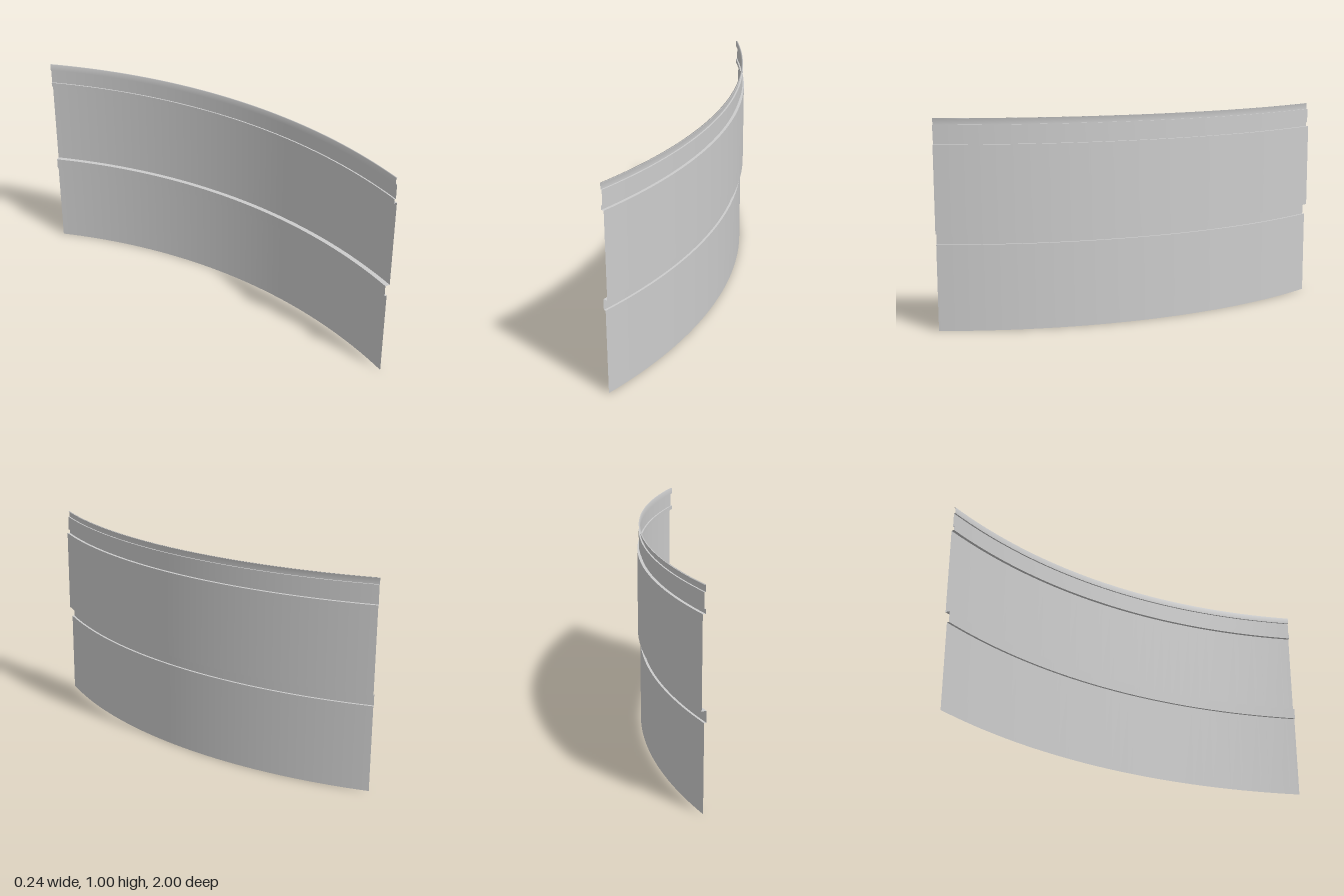
import * as THREE from 'three';

export function createModel() {
  const group = new THREE.Group();
  group.name = 'curvedWall';
  const plaster = new THREE.MeshStandardMaterial({ color: 0xcccccc, side: THREE.DoubleSide });
  plaster.name = 'plasterGrey';

  const centreX = -2.285; // axis of the arc
  const half = 0.429;     // half of the arc angle

  // Sweeps a [radius, height] profile along the arc, bulging towards +x
  function sweep(name, profile) {
    const points = profile.map(([r, y]) => new THREE.Vector2(r, y));
    const geometry = new THREE.LatheGeometry(points, 40, Math.PI / 2 - half, half * 2);
    const mesh = new THREE.Mesh(geometry, plaster);
    mesh.name = name;
    mesh.position.x = centreX;
    group.add(mesh);
  }

  // Upright strips from the floor up: name, radius, bottom, top
  const strips = [
    ['lowerPanel', 2.391, 0, 0.412],
    ['chairRail', 2.38, 0.412, 0.465],
    ['upperPanel', 2.403, 0.465, 0.88],
    ['pictureRail', 2.389, 0.88, 0.9],
    ['frieze', 2.396, 0.9, 0.97],
  ];
  const corniceRadius = 2.389;
  strips.forEach(([name, r, bottom, top], i) => {
    sweep(name, [[r, bottom], [r, top]]);
    // Flat ledge joining this strip to the next
    const next = i + 1 < strips.length ? strips[i + 1][1] : corniceRadius;
    sweep(name + 'Ledge', [[r, top], [next, top]]);
  });

  // Top moulding, softly shaded into its narrow cap
  sweep('cornice', [[corniceRadius, 0.97], [corniceRadius, 1], [2.396, 1]]);

  return group;
}
